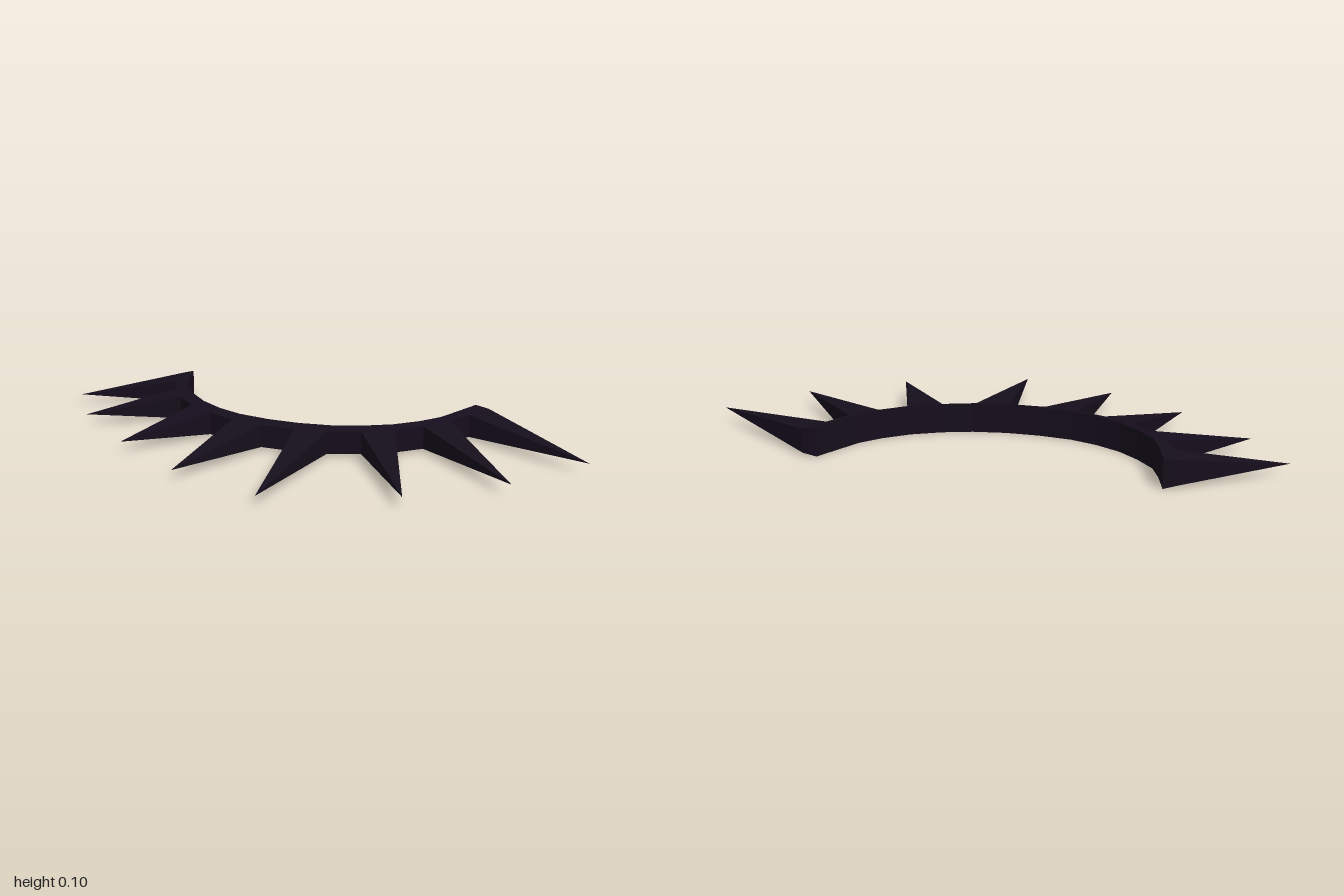
import * as THREE from 'three';

// Plan of the band: [inner x, inner z, outer x, outer z] per station
const stations = [
  [-0.645, -0.527, -0.687, -0.51], [-0.61, -0.415, -0.655, -0.405],
  [-0.575, -0.33, -0.615, -0.31], [-0.51, -0.25, -0.55, -0.217],
  [-0.435, -0.18, -0.468, -0.147], [-0.345, -0.125, -0.366, -0.088],
  [-0.25, -0.088, -0.26, -0.045], [-0.13, -0.07, -0.14, -0.025],
  [-0.013, -0.07, -0.013, -0.025], [0.1, -0.088, 0.1, -0.045],
  [0.2, -0.125, 0.21, -0.088], [0.295, -0.18, 0.313, -0.147],
  [0.37, -0.25, 0.393, -0.222], [0.425, -0.323, 0.463, -0.313],
  [0.46, -0.41, 0.505, -0.41], [0.5, -0.51, 0.548, -0.51],
];

// One spike tip for every second band segment
const tips = [
  [-1, 0.035, -0.27], [-0.848, 0.04, -0.04], [-0.575, 0.045, 0.205], [-0.28, 0.045, 0.4],
  [0.072, 0.045, 0.515], [0.505, 0.045, 0.35], [0.795, 0.045, 0.11], [0.986, 0.045, -0.185],
];

const HEIGHT = 0.1;
const BEVEL = 0.009; // the outer edge is slightly lower than the inner one

function facetedMesh(name, triangles, material) {
  const geometry = new THREE.BufferGeometry();
  geometry.setAttribute('position', new THREE.Float32BufferAttribute(triangles.flat(2), 3));
  geometry.computeVertexNormals();
  const mesh = new THREE.Mesh(geometry, material);
  mesh.name = name;
  return mesh;
}

const quad = (a, b, c, d) => [[a, b, c], [a, c, d]];

export function createModel() {
  const group = new THREE.Group();
  group.name = 'spikedBand';
  const material = new THREE.MeshStandardMaterial({ color: 0x160e1c, flatShading: true });

  // Cross-sections: outer bottom, outer top, inner top, inner bottom
  const sections = stations.map(([ix, iz, ox, oz]) => [
    [ox, BEVEL, oz], [ox, HEIGHT - BEVEL, oz], [ix, HEIGHT, iz], [ix, 0, iz],
  ]);

  // Curved band, left open where a spike grows out of it
  const band = [];
  for (let i = 0; i < sections.length - 1; i++) {
    const s = sections[i], n = sections[i + 1];
    for (let k = 0; k < 4; k++) {
      if (k === 0 && i % 2 === 0) continue;
      const m = (k + 1) % 4;
      band.push(...quad(s[k], n[k], n[m], s[m]));
    }
  }
  const first = sections[0], last = sections[sections.length - 1];
  band.push(...quad(first[0], first[1], first[2], first[3]));
  band.push(...quad(last[3], last[2], last[1], last[0]));
  group.add(facetedMesh('band', band, material));

  // Four-sided spikes on alternate segments
  tips.forEach((tip, i) => {
    const s = sections[2 * i], n = sections[2 * i + 1];
    const base = [s[0], n[0], n[1], s[1]];
    const sides = base.map((corner, j) => [corner, base[(j + 1) % 4], tip]);
    group.add(facetedMesh(`spike${i + 1}`, sides, material));
  });

  return group;
}
